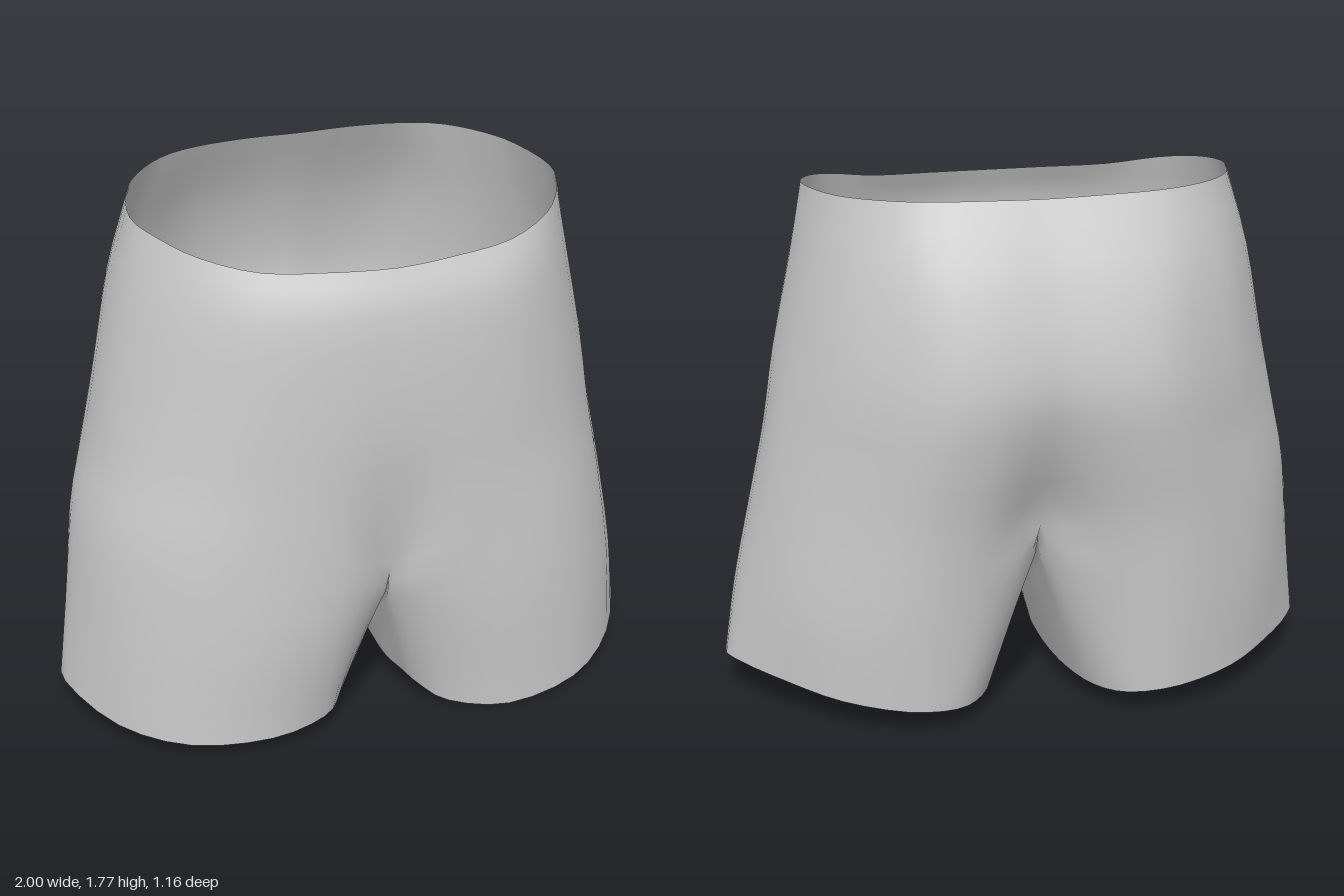
import * as THREE from 'three';
import { mergeVertices } from 'three/addons/utils/BufferGeometryUtils.js';

const DOWN = 3;   // subdivisions between neighbouring cross-sections
const ROUND = 3;  // subdivisions between neighbouring points of a cross-section

// Cross-sections of one half, [x, z], from front centre round the side to back centre
const waist = [[0, .517], [.2, .497], [.4, .455], [.56, .37], [.655, .24], [.7, .09], [.66, -.1], [.595, -.22], [.49, -.32], [.36, -.375], [.18, -.398], [0, -.4]];
const belly = [[0, .565], [.2, .556], [.41, .51], [.59, .4], [.71, .24], [.755, .07], [.73, -.1], [.65, -.26], [.55, -.37], [.38, -.49], [.19, -.52], [0, -.512]];
const hip = [[0, .575], [.22, .57], [.44, .525], [.63, .415], [.765, .25], [.817, .07], [.79, -.1], [.71, -.26], [.59, -.4], [.38, -.55], [.2, -.58], [0, -.565]];
const seat = [[0, .555], [.21, .568], [.45, .532], [.65, .435], [.8, .27], [.86, .07], [.84, -.1], [.745, -.26], [.61, -.395], [.41, -.53], [.2, -.545], [0, -.495]];
const fork = [[0, .495], [.18, .56], [.45, .545], [.67, .46], [.84, .29], [.91, .08], [.885, -.09], [.78, -.255], [.63, -.39], [.43, -.5], [.2, -.485], [0, -.37]];
const thigh = [[.06, .46], [.2, .54], [.44, .555], [.68, .48], [.87, .31], [.965, .08], [.93, -.07], [.81, -.25], [.65, -.385], [.45, -.475], [.23, -.45], [.09, -.35]];
const hem = [[.14, .39], [.22, .475], [.42, .532], [.68, .485], [.88, .32], [1, .08], [.96, -.06], [.82, -.23], [.66, -.365], [.46, -.445], [.29, -.43], [.19, -.34]];

// Heights that vary around a section
const waistY = [1.64, 1.645, 1.655, 1.69, 1.72, 1.737, 1.752, 1.76, 1.768, 1.77, 1.77, 1.767];
const forkY = [.6, .67, .72, .72, .72, .72, .72, .72, .72, .72, .7, .68];
const hemY = {
  left: [.055, .02, 0, .025, .068, .125, .138, .13, .11, .09, .075, .07],
  right: [.07, .055, .05, .052, .07, .12, .125, .12, .105, .09, .075, .07],
};

// Inner leg, from back to front: crotch seam [y, z] and hem [x, z]
const crotch = [[.56, -.27], [.47, -.12], [.43, .08], [.42, .25], [.46, .41]];
const innerHem = [[.13, -.2], [.1, -.04], [.09, .1], [.09, .22], [.11, .32]];

const spline = (points, closed) => new THREE.CatmullRomCurve3(points, closed, 'catmullrom', .5);

function buildHalf(side, positions, indices) {
  const sign = side === 'left' ? 1 : -1;
  const base = positions.length / 3;
  const last = hem.length - 1, sides = hem.length + innerHem.length;
  const around = sides * ROUND, outer = last * ROUND;
  const rows = 6 * DOWN, forkRow = 4 * DOWN;

  // Each column runs from waist to hem; "lean" makes the right half slightly fuller
  const columns = hem.map((_, c) => spline([
    [waist, waistY[c], .015], [belly, 1.5, .025], [hip, 1.2, .02], [seat, .95, .022],
    [fork, forkY[c], .024], [thigh, .39, .006], [hem, hemY[side][c], 0],
  ].map(([ring, y, lean]) => new THREE.Vector3(ring[c][0] * (1 - sign * lean), y, ring[c][1]))));

  for (let r = 0; r <= rows; r++) {
    const isLeg = r > forkRow;
    const t = Math.max(0, (r - forkRow) / (rows - forkRow));
    const shell = columns.map((column) => column.getPoint(r / rows));
    if (!isLeg) shell[0].x = shell[last].x = 0; // centre seam
    const inner = crotch.map(([y, z], i) => new THREE.Vector3(0, y, z)
      .lerp(new THREE.Vector3(innerHem[i][0], .073, innerHem[i][1]), t));

    // Torso rings are rounded as whole loops, the crotch seam as an open line
    const mirrored = shell.slice(1, last).reverse().map((p) => new THREE.Vector3(-p.x, p.y, p.z));
    const loop = spline([...shell, ...(isLeg ? inner : mirrored)], true);
    const seam = spline([shell[last], ...inner, shell[0]], false);
    for (let c = 0; c < around; c++) {
      const p = isLeg ? loop.getPoint(c / around)
        : c <= outer ? loop.getPoint(c / (2 * outer))
          : seam.getPoint((c - outer) / (around - outer));
      if (!isLeg && (c === 0 || c >= outer)) p.x = 0;
      positions.push(sign * p.x, p.y, p.z);
    }
  }

  // The torso is an open half ring, the leg a closed one
  for (let r = 0; r < rows; r++) {
    const count = r < forkRow ? outer : around;
    for (let c = 0; c < count; c++) {
      const next = (c + 1) % around;
      const a = base + r * around + c, b = base + r * around + next;
      const d = a + around, e = b + around;
      if (sign > 0) indices.push(a, d, b, b, d, e);
      else indices.push(a, b, d, b, e, d);
    }
  }
}

export function createModel() {
  const fabric = new THREE.MeshStandardMaterial({ color: 0xcccccc, side: THREE.DoubleSide });
  fabric.name = 'grey fabric';

  const positions = [], indices = [];
  buildHalf('left', positions, indices);
  buildHalf('right', positions, indices);

  // Weld the halves along the centre seam so shading is continuous
  let geometry = new THREE.BufferGeometry();
  geometry.setAttribute('position', new THREE.Float32BufferAttribute(positions, 3));
  geometry.setIndex(indices);
  geometry = mergeVertices(geometry, 1e-4);
  geometry.computeVertexNormals();

  const shorts = new THREE.Mesh(geometry, fabric);
  shorts.name = 'shorts';
  const group = new THREE.Group();
  group.name = 'shortTrousers';
  group.add(shorts);
  return group;
}
